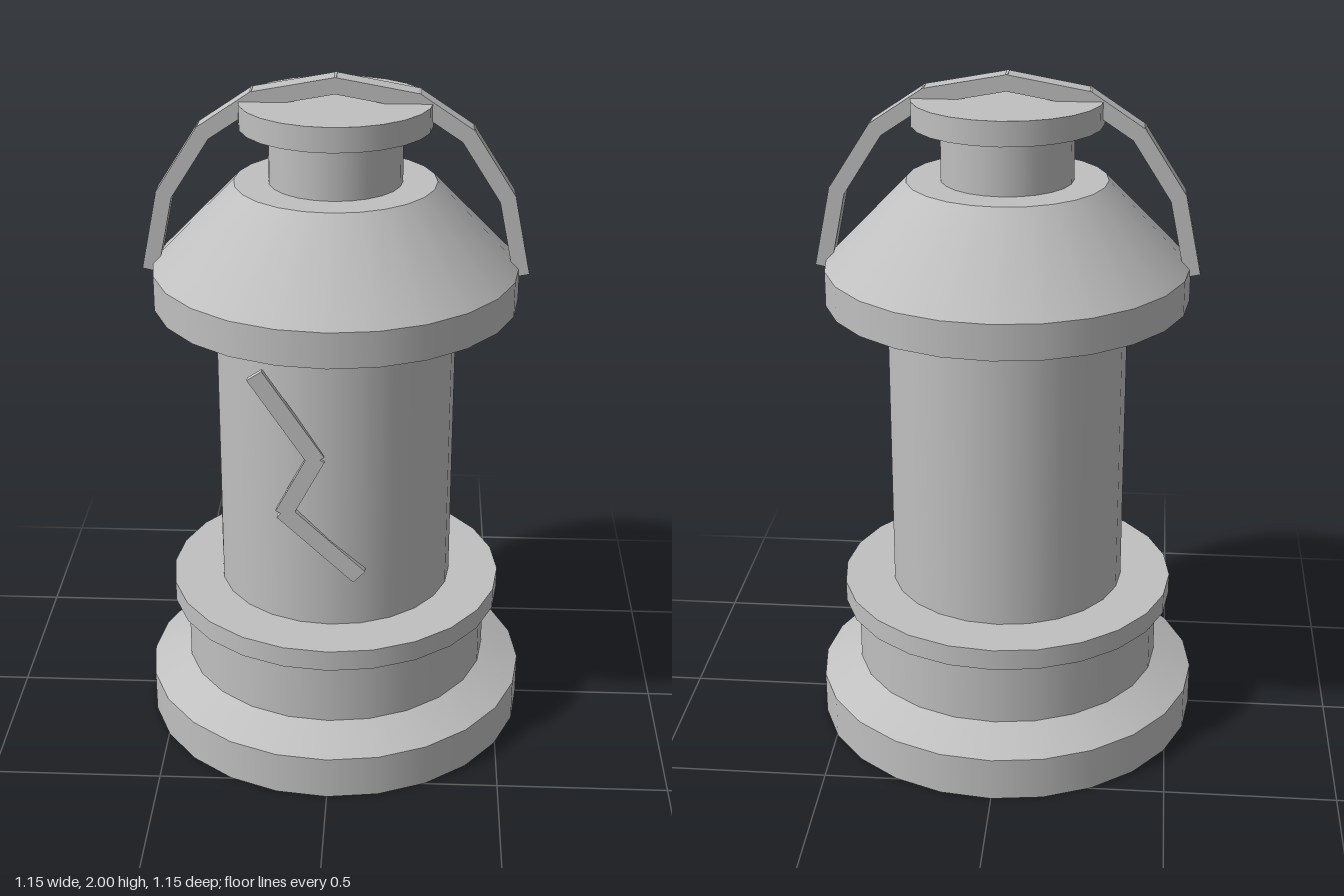
import * as THREE from 'three';

export function createModel() {
  const group = new THREE.Group();
  const metal = new THREE.MeshStandardMaterial({ color: 0xc0c0c0 });
  metal.name = 'grey metal';

  function add(name, geometry, parent = group) {
    const mesh = new THREE.Mesh(geometry, metal);
    mesh.name = name;
    parent.add(mesh);
    return mesh;
  }

  // Stacked round body: name, bottom radius, top radius, bottom y, top y
  const rounds = [
    ['base', 0.575, 0.575, 0, 0.13],
    ['baseBevel', 0.575, 0.46, 0.13, 0.187],
    ['fuelTank', 0.46, 0.46, 0.187, 0.387],
    ['tankRim', 0.5, 0.5, 0.387, 0.45],
    ['glassBody', 0.35, 0.35, 0.45, 1.345],
    ['collar', 0.527, 0.527, 1.345, 1.448],
    ['shoulder', 0.527, 0.288, 1.448, 1.695],
    ['neck', 0.19, 0.19, 1.695, 1.855],
    ['cap', 0.272, 0.272, 1.855, 1.925],
  ];
  for (const [name, r0, r1, y0, y1] of rounds) {
    add(name, new THREE.CylinderGeometry(r1, r0, y1 - y0, 24)).position.y = (y0 + y1) / 2;
  }

  // Chain of straight bars along a list of [x, y] points
  function bars(name, points, width, depth, z, overlap) {
    const chain = new THREE.Group();
    chain.name = name;
    group.add(chain);
    for (let i = 0; i < points.length - 1; i++) {
      const [ax, ay] = points[i];
      const [bx, by] = points[i + 1];
      const length = Math.hypot(bx - ax, by - ay) + overlap;
      const bar = add(name + 'Segment', new THREE.BoxGeometry(length, width, depth), chain);
      bar.position.set((ax + bx) / 2, (ay + by) / 2, z);
      bar.rotation.z = Math.atan2(by - ay, bx - ax);
    }
  }

  // Arched carrying handle, mirrored about the middle
  const half = [[-0.53, 1.437], [-0.485, 1.655], [-0.37, 1.835], [-0.225, 1.932], [0, 1.973]];
  const arch = half.concat(half.slice(0, -1).reverse().map(([x, y]) => [-x, y]));
  bars('handle', arch, 0.046, 0.064, 0, 0.016);

  // Zigzag crack standing slightly proud of the front
  bars('crack', [[-0.205, 1.24], [-0.04, 0.99], [-0.13, 0.82], [0.08, 0.62]], 0.05, 0.02, 0.347, 0.012);

  return group;
}
